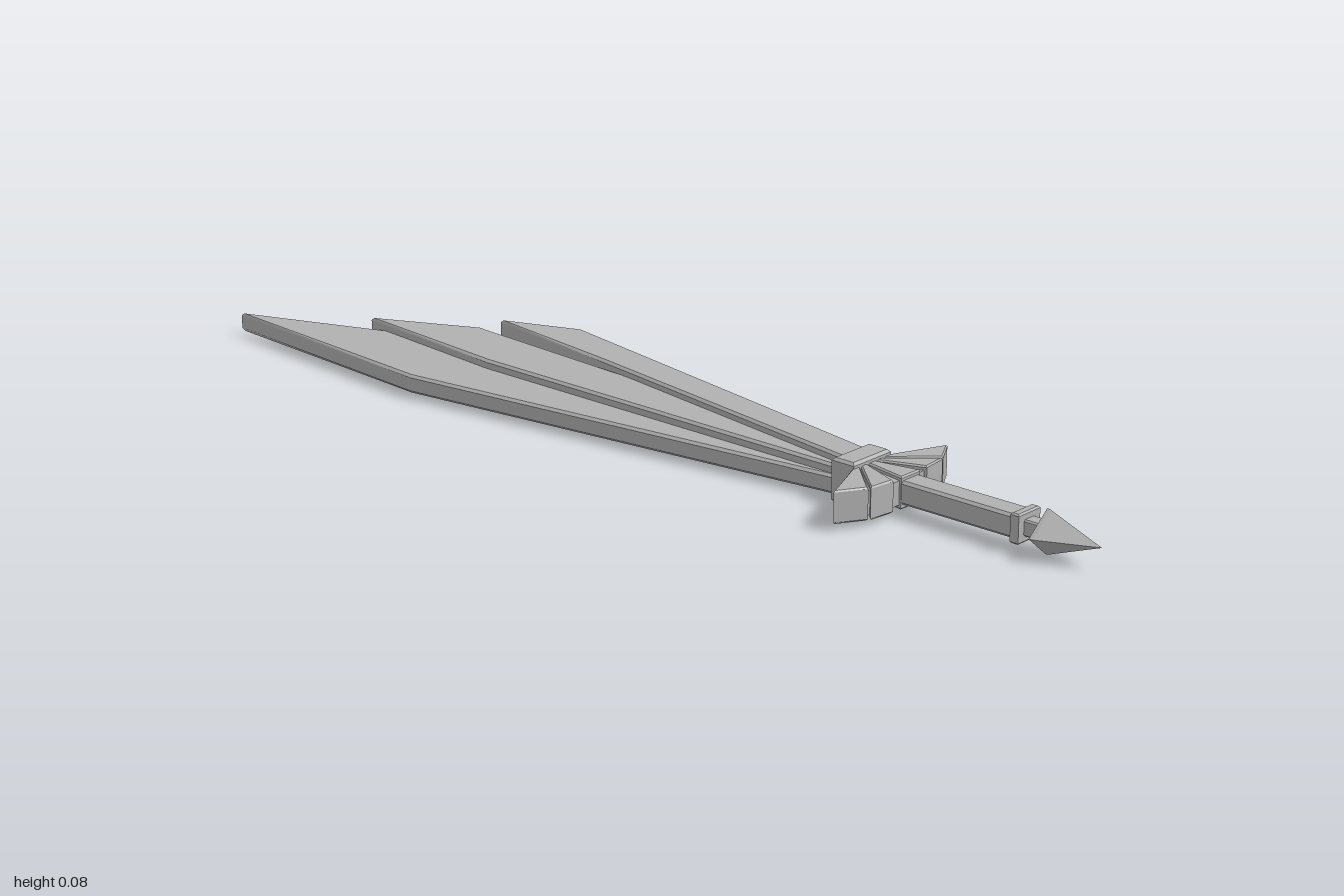
import * as THREE from 'three';

const CX = -0.017; // centre line of the handle
const CY = 0.042;  // middle height

export function createModel() {
  const group = new THREE.Group();
  const steel = new THREE.MeshStandardMaterial({ color: 0xb0b0b0 });
  steel.name = 'grey steel';

  const add = (name, geometry) => {
    const mesh = new THREE.Mesh(geometry, steel);
    mesh.name = name;
    group.add(mesh);
  };

  // flat slab with chamfered rims: outline as [x, z] points, between heights y0 and y1
  const slab = (name, points, y0, y1, bevel) => {
    const shape = new THREE.Shape(points.map(([x, z]) => new THREE.Vector2(x, -z)));
    const geometry = new THREE.ExtrudeGeometry(shape, {
      depth: y1 - y0 - 2 * bevel,
      bevelEnabled: bevel > 0,
      bevelThickness: bevel,
      bevelSize: bevel,
      bevelOffset: -bevel,
      bevelSegments: 1,
    });
    geometry.rotateX(-Math.PI / 2).translate(0, y0 + bevel, 0);
    add(name, geometry);
  };
  const block = (name, halfWidth, z0, z1, y0, y1, bevel) =>
    slab(name, [[CX - halfWidth, z1], [CX + halfWidth, z1], [CX + halfWidth, z0], [CX - halfWidth, z0]], y0, y1, bevel);

  // three overlapping blades, stepping upwards from left to right
  slab('longBlade', [[-0.053, 0.48], [0.0, 0.48], [-0.016, -0.71], [-0.132, -1.0], [-0.175, -0.48]], 0.009, 0.045, 0.005);
  slab('middleBlade', [[-0.05, 0.48], [0.022, 0.48], [0.085, -0.55], [-0.016, -0.75], [-0.05, -0.4]], 0.027, 0.062, 0.005);
  slab('shortBlade', [[-0.042, 0.48], [0.022, 0.48], [0.175, -0.365], [0.11, -0.52], [0.066, -0.21]], 0.038, 0.077, 0.005);

  // collar holding the blades
  block('collar', 0.051, 0.46, 0.51, 0, 0.083, 0.005);

  // fan-shaped guard: a recessed core with raised wedges
  const mirror = (points) => points.map(([x, z]) => [CX - x, z]).reverse();
  const side = (points) => points.map(([x, z]) => [CX + x, z]);
  slab('guardCore', [
    [CX - 0.045, 0.5], [CX - 0.14, 0.55], [CX - 0.1, 0.58], [CX - 0.04, 0.59],
    [CX + 0.04, 0.59], [CX + 0.1, 0.58], [CX + 0.14, 0.55], [CX + 0.045, 0.5],
  ], 0.02, 0.065, 0);
  const outerWedge = [[0.03, 0.505], [0.103, 0.585], [0.157, 0.552], [0.05, 0.505]];
  const innerWedge = [[0.012, 0.505], [0.046, 0.594], [0.099, 0.587], [0.027, 0.505]];
  slab('guardOuterWedgeLeft', side(outerWedge), 0.012, 0.073, 0.003);
  slab('guardOuterWedgeRight', mirror(outerWedge), 0.012, 0.073, 0.003);
  slab('guardInnerWedgeLeft', side(innerWedge), 0.012, 0.073, 0.003);
  slab('guardInnerWedgeRight', mirror(innerWedge), 0.012, 0.073, 0.003);
  slab('guardCentreWedge', side([[-0.009, 0.505], [-0.026, 0.595], [0.026, 0.595], [0.009, 0.505]]), 0.012, 0.073, 0.003);

  // handle
  block('grip', 0.025, 0.58, 0.84, 0.021, 0.065, 0.005);
  block('gripRing', 0.03, 0.832, 0.85, 0.015, 0.07, 0.003);
  block('pommelNeck', 0.015, 0.845, 0.9, 0.027, 0.057, 0.003);

  // four-sided pointed pommel
  const profile = [[0, 0.875], [0.3, 0.878], [1, 0.886], [0.97, 0.893], [0, 1.0]].map(
    ([r, z]) => new THREE.Vector2(r, z));
  const pommel = new THREE.LatheGeometry(profile, 4).toNonIndexed();
  pommel.rotateX(Math.PI / 2).scale(0.05, 0.0415, 1).translate(CX, CY, 0);
  pommel.computeVertexNormals();
  add('pommel', pommel);

  return group;
}
